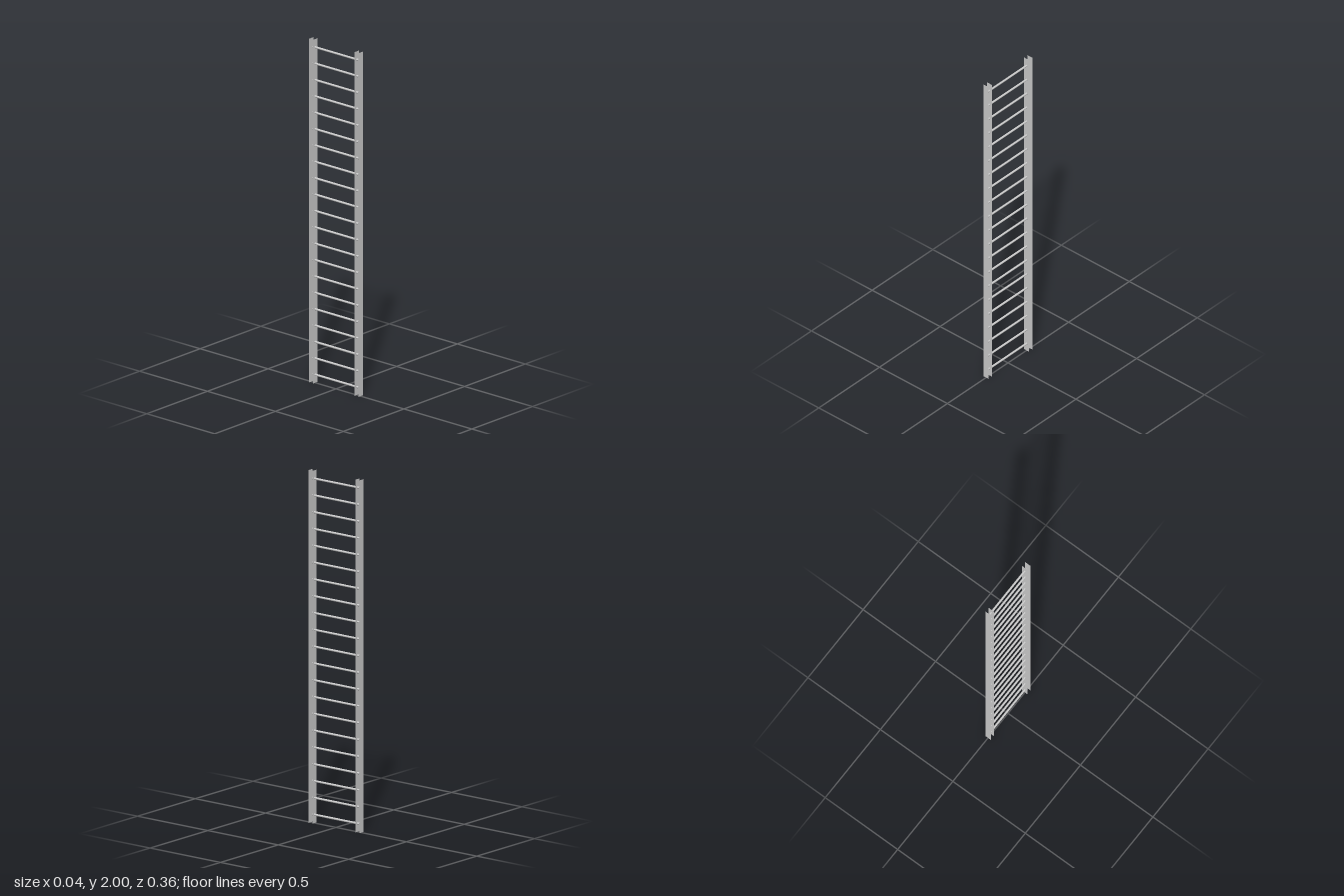
import * as THREE from 'three';

const HEIGHT = 2;
const RUNGS = 21;
const RAIL_WIDTH = 0.038;  // across x
const RAIL_DEPTH = 0.028;  // gap between the two plates of a rail
const RAIL_Z = 0.167;      // centre of each rail

export function createModel() {
  const model = new THREE.Group();
  model.name = 'ladder';
  const grey = new THREE.MeshStandardMaterial({ color: 0xcccccc, side: THREE.DoubleSide });

  // Each rail is a pair of thin upright plates, open at the sides
  const plateGeometry = new THREE.PlaneGeometry(RAIL_WIDTH, HEIGHT);
  for (const side of [1, -1]) {
    const rail = new THREE.Group();
    rail.name = side > 0 ? 'frontRail' : 'backRail';
    for (const face of [1, -1]) {
      const plate = new THREE.Mesh(plateGeometry, grey);
      plate.name = face > 0 ? 'outerPlate' : 'innerPlate';
      plate.position.set(0, HEIGHT / 2, side * (RAIL_Z + face * RAIL_DEPTH / 2));
      if (side * face < 0) plate.rotation.y = Math.PI;
      rail.add(plate);
    }
    model.add(rail);
  }

  // Round rungs, evenly spaced, ending between the plates of the rails
  const rungGeometry = new THREE.CylinderGeometry(0.0062, 0.0062, RAIL_Z * 2, 12);
  rungGeometry.rotateX(Math.PI / 2);
  const spacing = HEIGHT / RUNGS;
  for (let i = 0; i < RUNGS; i++) {
    const rung = new THREE.Mesh(rungGeometry, grey);
    rung.name = `rung${i + 1}`;
    rung.position.y = (i + 0.5) * spacing;
    model.add(rung);
  }
  return model;
}
